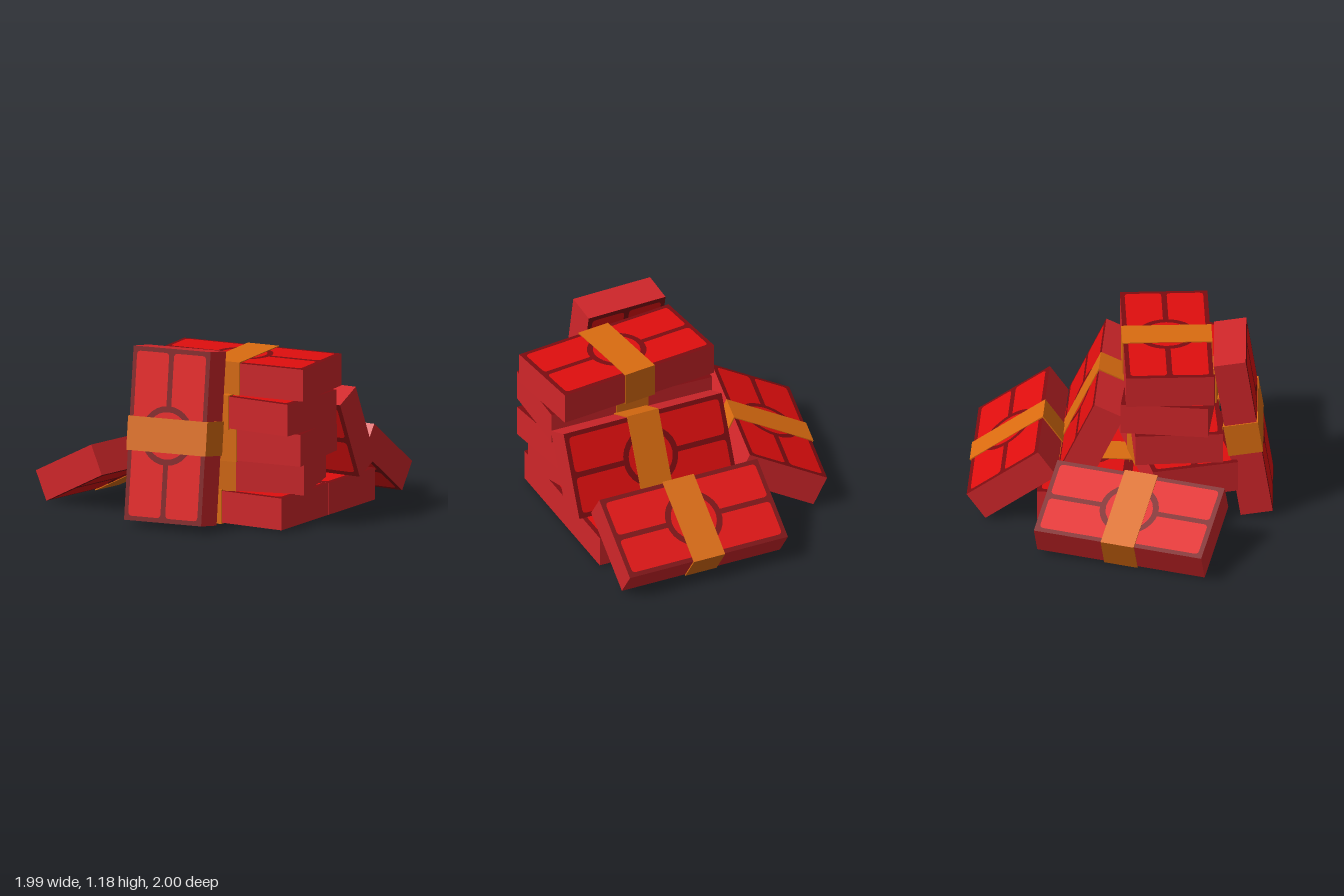
import * as THREE from 'three';

const LENGTH = 1.14, THICK = 0.212, WIDTH = 0.572;

function material(name, color) {
  const m = new THREE.MeshStandardMaterial({ color });
  m.name = name;
  return m;
}

function roundedRect(w, h, r) {
  const x = w / 2, y = h / 2;
  const s = new THREE.Shape();
  s.moveTo(-x + r, -y);
  s.lineTo(x - r, -y);
  s.quadraticCurveTo(x, -y, x, -y + r);
  s.lineTo(x, y - r);
  s.quadraticCurveTo(x, y, x - r, y);
  s.lineTo(-x + r, y);
  s.quadraticCurveTo(-x, y, -x, y - r);
  s.lineTo(-x, -y + r);
  s.quadraticCurveTo(-x, -y, -x + r, -y);
  return new THREE.ShapeGeometry(s, 4);
}

export function createModel() {
  const paper = material('paper edge red', 0xd0262a);
  const frame = material('dark red print', 0x7c0c10);
  const bright = material('bright red print', 0xe00e0e);
  const orange = material('orange band', 0xdb6c10);

  const coreGeo = new THREE.BoxGeometry(LENGTH, THICK, WIDTH);
  const bandGeo = new THREE.BoxGeometry(0.225, THICK + 0.016, WIDTH + 0.016);
  const panelGeo = roundedRect(1.08, 0.238, 0.028);
  const ringGeo = new THREE.RingGeometry(0.155, 0.195, 28);
  const discGeo = new THREE.CircleGeometry(0.156, 28);

  const add = (parent, name, geo, mat, x = 0, y = 0, z = 0) => {
    const mesh = new THREE.Mesh(geo, mat);
    mesh.name = name;
    mesh.position.set(x, y, z);
    parent.add(mesh);
    return mesh;
  };

  // Printed face: two long panels and a central ring
  function printedFace(name) {
    const face = new THREE.Group();
    face.name = name;
    for (const s of [-1, 1]) add(face, 'printPanel', panelGeo, bright, 0, s * 0.137, 0.002);
    add(face, 'printRing', ringGeo, frame, 0, 0, 0.004);
    add(face, 'printDisc', discGeo, bright, 0, 0, 0.004);
    return face;
  }

  // One bundle, placed by its centre, length direction and top normal
  function bundle(name, center, along, up) {
    const g = new THREE.Group();
    g.name = name;
    add(g, 'paperStack', coreGeo, [paper, paper, frame, frame, paper, paper]);
    add(g, 'paperBand', bandGeo, orange);
    for (const s of [-1, 1]) {
      const face = printedFace(s > 0 ? 'topPrint' : 'bottomPrint');
      face.position.y = s * THICK / 2;
      face.rotation.x = -s * Math.PI / 2;
      g.add(face);
    }
    const x = new THREE.Vector3(...along).normalize();
    const z = new THREE.Vector3().crossVectors(x, new THREE.Vector3(...up)).normalize();
    const y = new THREE.Vector3().crossVectors(z, x);
    g.quaternion.setFromRotationMatrix(new THREE.Matrix4().makeBasis(x, y, z));
    g.position.set(...center);
    return g;
  }

  const model = new THREE.Group();
  model.name = 'bundlePile';

  // Stacked bundles: x, y, z, turn in degrees
  const stack = [
    [0.33, 0.118, 0.33, 0],
    [0.33, 0.118, -0.245, 0],
    [0.33, 0.325, 0.333, 17.5],
    [0.39, 0.537, 0.32, 7.5],
    [0.39, 0.75, 0.318, -2],
    [0.395, 0.965, 0.275, 6],
  ];
  stack.forEach(([x, y, z, deg], i) => {
    const a = THREE.MathUtils.degToRad(deg);
    model.add(bundle('stackedBundle' + (i + 1), [x, y, z],
      [Math.cos(a), 0, -Math.sin(a)], [0, 1, 0]));
  });

  // Loose bundles leaning on the stack
  model.add(bundle('frontUprightBundle', [0.19, 0.596, 0.79], [-0.031, 0.988, -0.153], [0.057, 0.155, 0.989]));
  model.add(bundle('rightTiltedBundle', [-0.579, 0.237, 0.108], [-0.255, -0.025, 1.115], [-0.428, 0.9, -0.078]));
  model.add(bundle('backSteepBundle', [0.415, 0.535, -0.184], [1, 0, 0], [0, 0.42, -0.907]));
  model.add(bundle('backLowBundle', [0.33, 0.265, -0.695], [1, 0, 0], [0, 0.815, -0.58]));

  return model;
}
